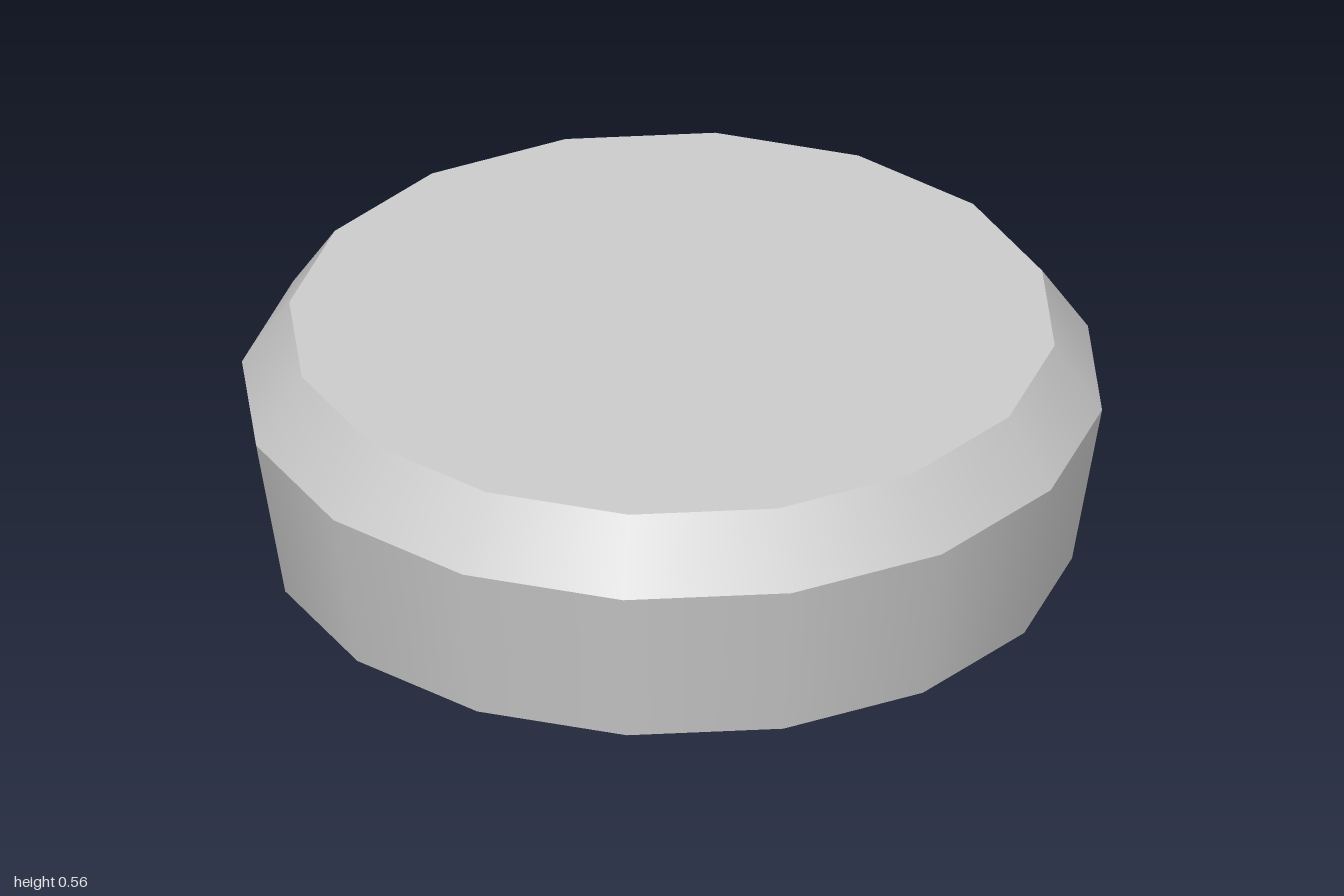
import * as THREE from 'three';

const SIDES = 16;

export function createModel() {
  const group = new THREE.Group();
  group.name = 'roundBlock';
  const material = new THREE.MeshStandardMaterial({ color: 0xcccccc });

  const add = (name, geometry, y) => {
    const mesh = new THREE.Mesh(geometry, material);
    mesh.name = name;
    mesh.position.y = y;
    group.add(mesh);
    return mesh;
  };

  // Tapered ring of sides, smooth around and sharp at its rims
  const band = (name, rBottom, rTop, y0, y1) =>
    add(name, new THREE.CylinderGeometry(rTop, rBottom, y1 - y0, SIDES, 1, true), (y0 + y1) / 2);

  // Flat end disc; dir is 1 facing up, -1 facing down
  const cap = (name, radius, y, dir) =>
    add(name, new THREE.CircleGeometry(radius, SIDES).rotateX(-dir * Math.PI / 2), y);

  band('lowerBody', 0.93, 1, 0, 0.4);
  band('bevel', 1, 0.89, 0.4, 0.565);
  cap('topFace', 0.89, 0.565, 1);
  cap('bottomFace', 0.93, 0, -1);

  return group;
}
